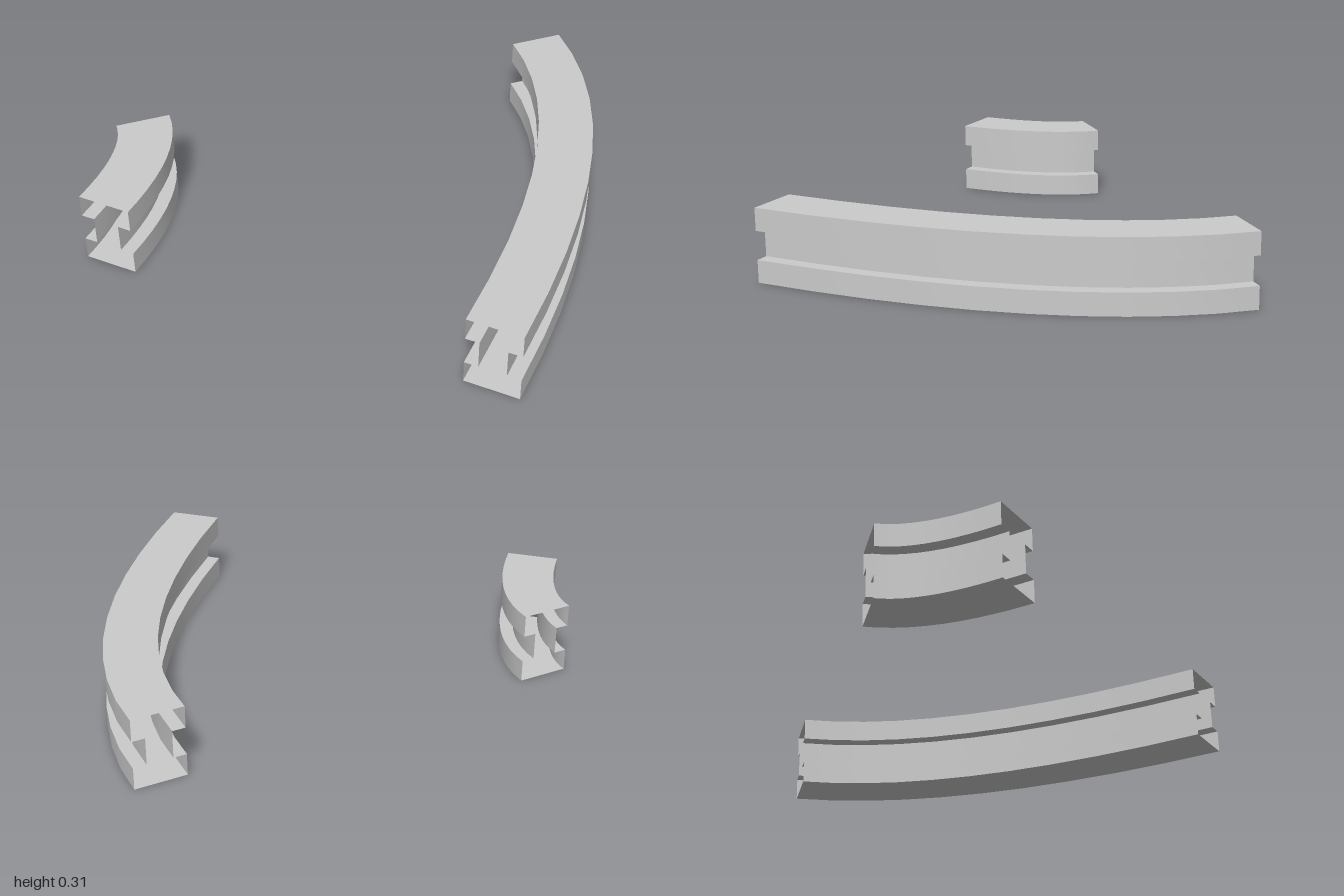
import * as THREE from 'three';
import { mergeGeometries } from 'three/addons/utils/BufferGeometryUtils.js';

const SEGMENTS = 10;
const FLANGE = 0.113, WEB = 0.056; // half widths

// Right half of the hollow I-shaped section, bottom to top: [offset, height]
const half = [[FLANGE, 0], [FLANGE, 0.095], [WEB, 0.095], [WEB, 0.215], [FLANGE, 0.215], [FLANGE, 0.31]];
const section = [...half, ...half.map(([u, y]) => [-u, y]).reverse()];

// Sweeps one side of the section along the path; normals are smooth lengthwise
function strip(path, a, b) {
  const positions = [], index = [];
  for (let i = 0; i <= SEGMENTS; i++) {
    const p = path.getPoint(i / SEGMENTS), t = path.getTangent(i / SEGMENTS);
    for (const [u, y] of [a, b]) positions.push(p.x - t.y * u, y, p.y + t.x * u);
    if (i < SEGMENTS) {
      const k = 2 * i;
      index.push(k, k + 2, k + 1, k + 1, k + 2, k + 3);
    }
  }
  const g = new THREE.BufferGeometry();
  g.setAttribute('position', new THREE.Float32BufferAttribute(positions, 3));
  g.setIndex(index);
  g.computeVertexNormals();
  return g;
}

// Open-ended curved rail that leaves along -z and turns 45 degrees towards -x
function curvedRail(name, x0, z0, x1, z1, material) {
  const path = new THREE.QuadraticBezierCurve(
    new THREE.Vector2(x0, z0),
    new THREE.Vector2(x0, z1 + (x0 - x1)),
    new THREE.Vector2(x1, z1));
  const sides = section.map((a, i) => strip(path, a, section[(i + 1) % section.length]));
  const mesh = new THREE.Mesh(mergeGeometries(sides), material);
  mesh.name = name;
  return mesh;
}

export function createModel() {
  const group = new THREE.Group();
  group.name = 'curvedRails';
  const material = new THREE.MeshStandardMaterial({ color: 0xcccccc, side: THREE.DoubleSide });
  group.add(curvedRail('longCurvedRail', 0.887, 0.95, 0.36, -0.873, material));
  group.add(curvedRail('shortCurvedRail', -0.763, 0.95, -0.92, 0.407, material));
  return group;
}
